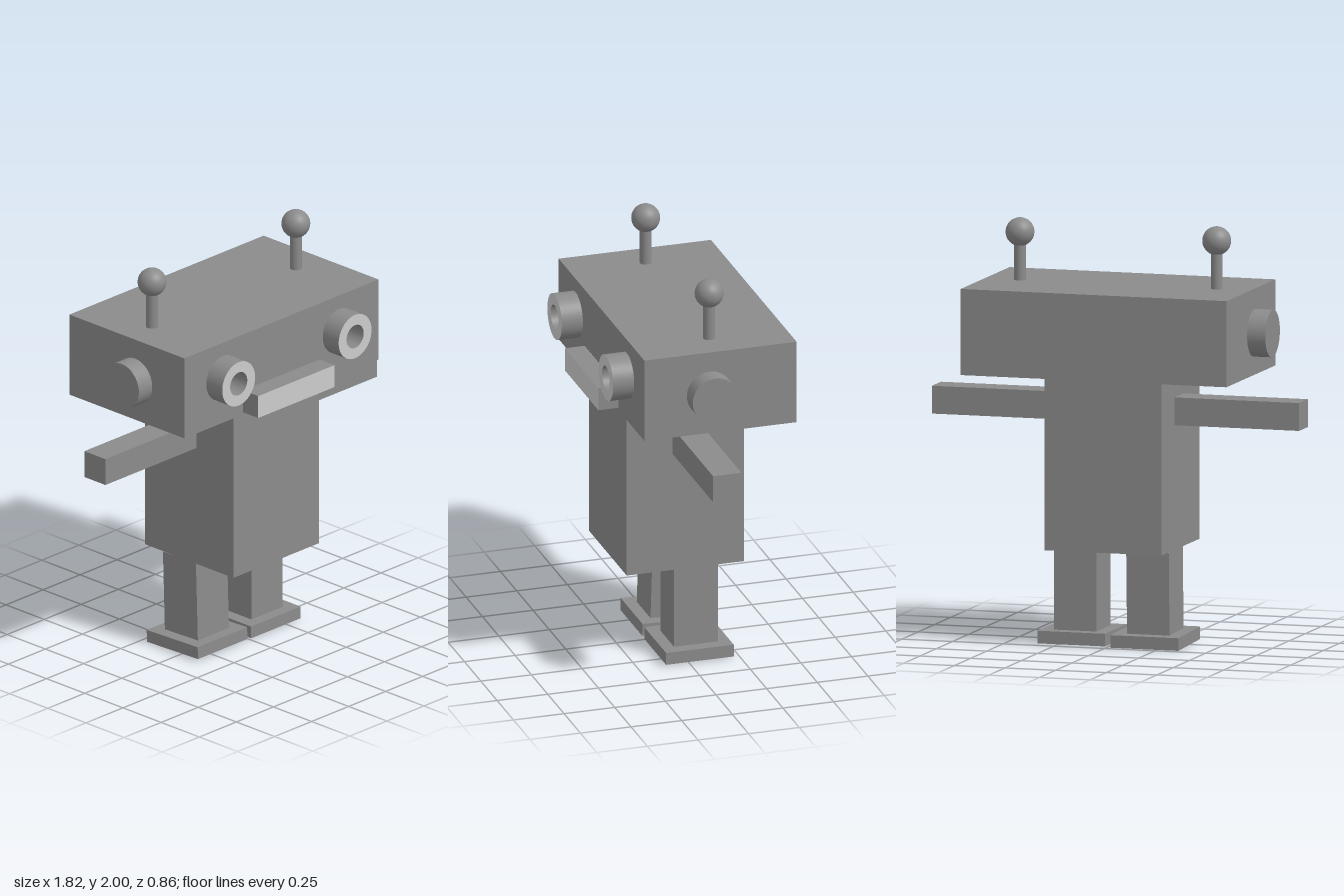
import * as THREE from 'three';

const dark = new THREE.MeshStandardMaterial({ color: 0x8b8b8b });
const light = new THREE.MeshStandardMaterial({ color: 0xcccccc });

function add(parent, name, geometry, x = 0, y = 0, z = 0, material = dark) {
  const mesh = new THREE.Mesh(geometry, material);
  mesh.name = name;
  mesh.position.set(x, y, z);
  parent.add(mesh);
  return mesh;
}

// Box given by its limits on each axis
function addBox(parent, name, [x0, x1], [y0, y1], [z0, z1], material) {
  const geometry = new THREE.BoxGeometry(x1 - x0, y1 - y0, z1 - z0);
  return add(parent, name, geometry, (x0 + x1) / 2, (y0 + y1) / 2, (z0 + z1) / 2, material);
}

// Short open tube with flat rims, pointing along +z
function eyeGeometry(outer, inner, depth) {
  const ring = new THREE.Shape().absarc(0, 0, outer, 0, Math.PI * 2, false);
  ring.holes.push(new THREE.Path().absarc(0, 0, inner, 0, Math.PI * 2, true));
  return new THREE.ExtrudeGeometry(ring, { depth, bevelEnabled: false, curveSegments: 32 });
}

export function createModel() {
  const model = new THREE.Group();
  model.name = 'robot';

  // Head and torso; the mouth has a light front face
  addBox(model, 'head', [-0.66, 0.652], [1.295, 1.704], [-0.43, 0.322]);
  addBox(model, 'torso', [-0.295, 0.283], [0.46, 1.295], [-0.29, 0.29]);
  addBox(model, 'mouth', [-0.262, 0.253], [1.306, 1.418], [0.322, 0.42],
    [dark, dark, dark, dark, light, dark]);

  // Arms
  addBox(model, 'rightArm', [-0.91, -0.295], [1.052, 1.184], [-0.09, 0.048]);
  addBox(model, 'leftArm', [0.283, 0.908], [1.052, 1.184], [-0.075, 0.065]);

  for (const [side, eyeX, earX, antennaX] of [
    ['right', -0.4, -0.705, -0.491],
    ['left', 0.386, 0.697, 0.48],
  ]) {
    // Hollow eyes with light rims
    add(model, side + 'Eye', eyeGeometry(0.111, 0.058, 0.104), eyeX, 1.525, 0.322, [light, dark]);

    // Ear discs
    const ear = add(model, side + 'Ear', new THREE.CylinderGeometry(0.112, 0.112, 0.09, 48), earX, 1.495, 0);
    ear.rotation.z = Math.PI / 2;

    // Antenna rod and ball
    const antenna = new THREE.Group();
    antenna.name = side + 'Antenna';
    antenna.position.set(antennaX, 1.704, -0.053);
    add(antenna, 'rod', new THREE.CylinderGeometry(0.028, 0.028, 0.18, 32), 0, 0.09, 0);
    add(antenna, 'ball', new THREE.SphereGeometry(0.068, 32, 24), 0, 0.228, 0);
    model.add(antenna);
  }

  // Legs and feet; the right one leans back slightly
  for (const [side, x, lean] of [['right', -0.188, -0.032], ['left', 0.173, 0]]) {
    const leg = new THREE.Group();
    leg.name = side + 'Leg';
    leg.position.set(x, 0.066, -0.053);
    leg.rotation.x = lean;
    addBox(leg, 'shin', [-0.105, 0.105], [0, 0.394], [-0.108, 0.108]);
    addBox(leg, 'foot', [-0.167, 0.167], [-0.06, 0], [-0.167, 0.167]);
    model.add(leg);
  }

  return model;
}
